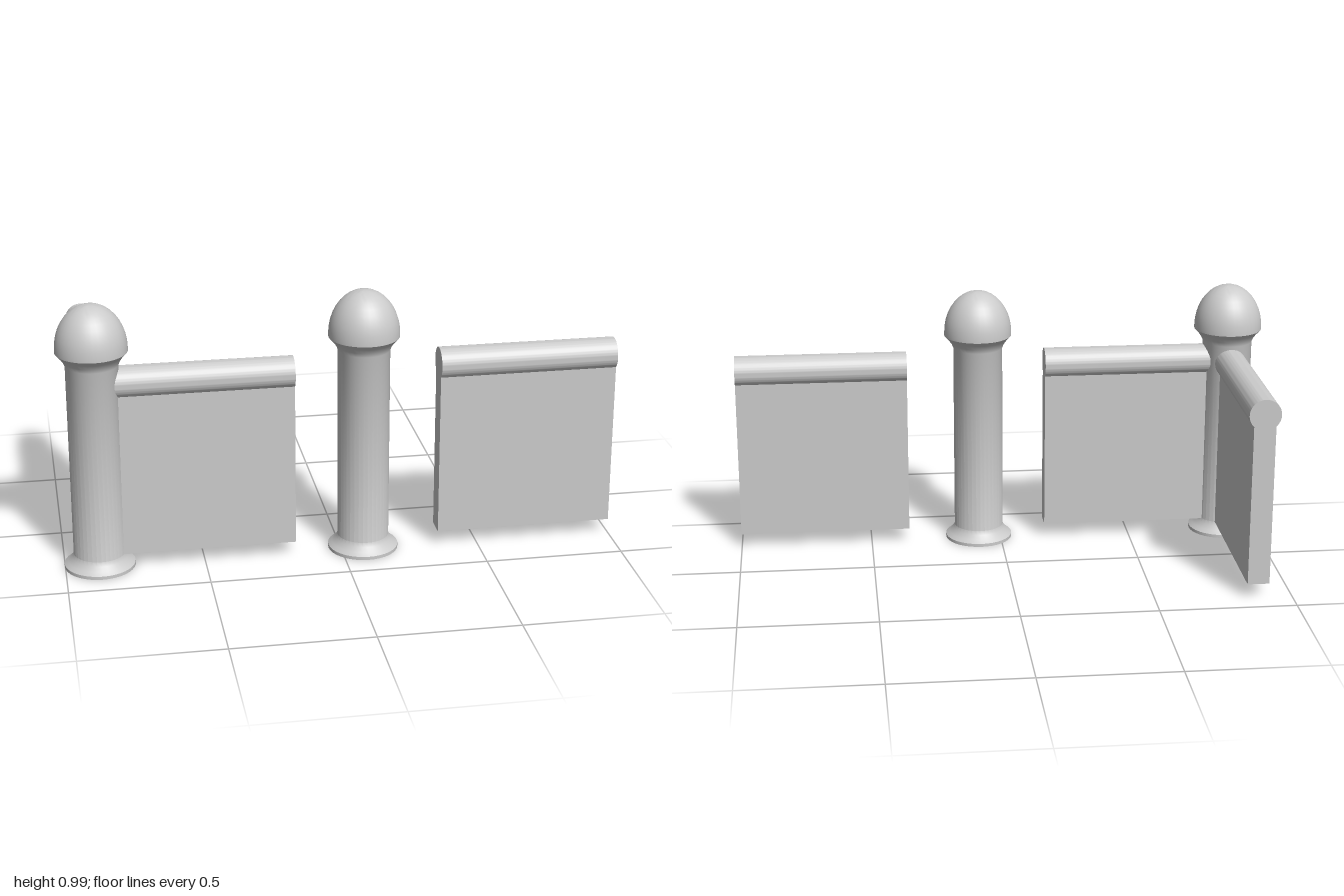
import * as THREE from 'three';
import { toCreasedNormals } from 'three/addons/utils/BufferGeometryUtils.js';

const material = new THREE.MeshStandardMaterial({ color: 0xcccccc });
const CREASE = 0.45;

// Wall and capping sizes
const LENGTH = 0.645, THICK = 0.08, BASE = 0.052, TOP = 0.653, CAP_R = 0.058;
const POST_Z = 0.29, POST_X = -0.875, OFFSET = 0.06;

function addMesh(parent, name, geometry) {
  const mesh = new THREE.Mesh(geometry, material);
  mesh.name = name;
  parent.add(mesh);
  return mesh;
}

// Turned post with flared foot, flared collar and domed head
function createPost(name, x, z) {
  const points = [
    [0, 0], [0.127, 0], [0.127, 0.012], [0.113, 0.023], [0.1, 0.037], [0.093, 0.052],
    [0.093, 0.765], [0.1, 0.782], [0.112, 0.799], [0.127, 0.815],
  ].map(([r, y]) => new THREE.Vector2(r, y));
  const steps = 10;
  for (let i = 0; i <= steps; i++) {
    const a = (i / steps) * Math.PI / 2;
    points.push(new THREE.Vector2(i === steps ? 0 : 0.127 * Math.cos(a), 0.825 + 0.16 * Math.sin(a)));
  }
  const post = new THREE.Group();
  post.name = name;
  addMesh(post, name + 'Body', toCreasedNormals(new THREE.LatheGeometry(points, 36), CREASE));
  post.position.set(x, 0, z);
  return post;
}

// Wall slab with a rounded capping rail, running along its local +z
function createPanel(name, x, z, turn) {
  const panel = new THREE.Group();
  panel.name = name;

  const slab = addMesh(panel, name + 'Slab', new THREE.BoxGeometry(THICK, TOP - BASE, LENGTH));
  slab.position.set(0, (TOP + BASE) / 2, LENGTH / 2);

  // Round capping, cut flat where it sits on the slab
  const half = Math.asin(THICK / 2 / CAP_R);
  const shape = new THREE.Shape();
  shape.absarc(0, 0, CAP_R, -Math.PI / 2 + half, Math.PI * 1.5 - half, false);
  shape.closePath();
  const capGeometry = new THREE.ExtrudeGeometry(shape, {
    depth: LENGTH, bevelEnabled: false, curveSegments: 28,
  });
  const cap = addMesh(panel, name + 'Capping', toCreasedNormals(capGeometry, CREASE));
  cap.position.y = TOP + CAP_R * Math.cos(half);

  panel.position.set(x, 0, z);
  panel.rotation.y = turn;
  return panel;
}

export function createModel() {
  const model = new THREE.Group();
  model.name = 'balustradeSet';
  model.add(
    createPost('cornerPost', POST_X, POST_Z),
    createPost('freePost', 0.083, POST_Z),
    createPanel('frontPanel', POST_X + OFFSET, POST_Z, Math.PI / 2),
    createPanel('sidePanel', POST_X, POST_Z - OFFSET, Math.PI),
    createPanel('freePanel', 1 - LENGTH, POST_Z, Math.PI / 2),
  );
  return model;
}
